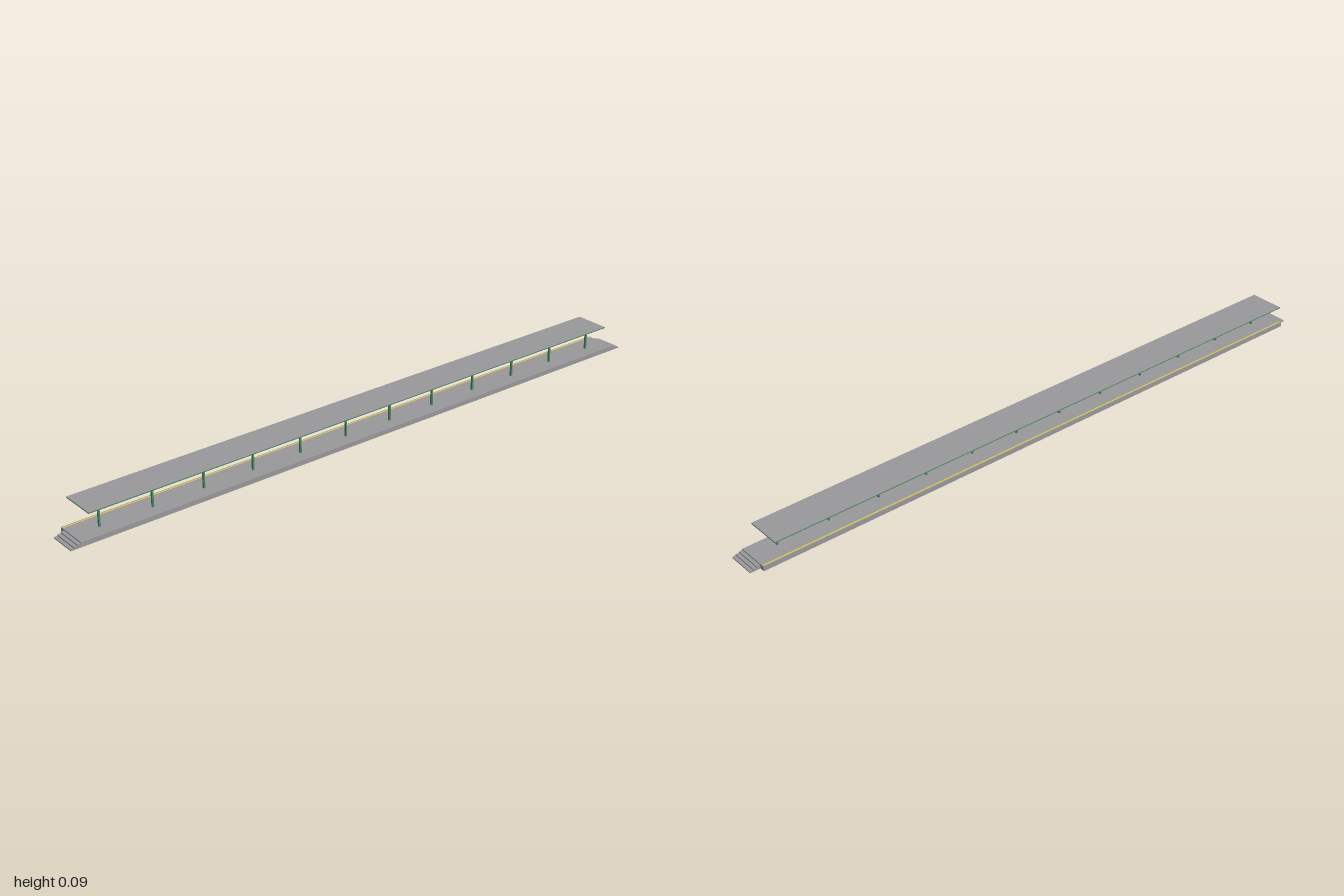
import * as THREE from 'three';

export function createModel() {
  const group = new THREE.Group();
  group.name = 'railwayPlatform';

  const concrete = new THREE.MeshStandardMaterial({ color: 0x99999b });
  concrete.name = 'concrete grey';
  const green = new THREE.MeshStandardMaterial({ color: 0x4f8a68 });
  green.name = 'steel green';
  const yellow = new THREE.MeshStandardMaterial({ color: 0xe6cc3c });
  yellow.name = 'safety yellow';

  // Box given by its min and max corners
  function box(name, material, [x0, y0, z0], [x1, y1, z1]) {
    const mesh = new THREE.Mesh(new THREE.BoxGeometry(x1 - x0, y1 - y0, z1 - z0), material);
    mesh.position.set((x0 + x1) / 2, (y0 + y1) / 2, (z0 + z1) / 2);
    mesh.name = name;
    group.add(mesh);
    return mesh;
  }

  // Platform slab
  box('platform', concrete, [-0.969, 0, -0.0422], [0.969, 0.0143, 0.0582]);

  // Steps down at both ends, narrower than the slab
  const stepCount = 3, tread = 0.0103, riser = 0.0143 / 4;
  for (const side of [-1, 1]) {
    for (let i = 0; i < stepCount; i++) {
      const inner = side * (0.969 + i * tread);
      const outer = side * (0.969 + (i + 1) * tread);
      box('endStep', concrete,
        [Math.min(inner, outer), 0, -0.026],
        [Math.max(inner, outer), riser * (stepCount - i), 0.0582]);
    }
  }

  // Safety line along the rear edge
  box('safetyLine', yellow, [-0.968, 0.0143, -0.0385], [0.968, 0.0145, -0.0345]);

  // Canopy: grey sheet with green edges (material order: +x, -x, +y, -y, +z, -z)
  box('canopyRoof', [green, green, concrete, concrete, green, green],
    [-0.938, 0.0825, -0.0582], [0.938, 0.0857, 0.0518]);

  // Tapered bracket profile, drawn in (-z, y) and extruded along x
  const width = 0.005;
  const profile = new THREE.Shape([
    new THREE.Vector2(-0.0198, 0.078),
    new THREE.Vector2(-0.0128, 0.078),
    new THREE.Vector2(0.0517, 0.0808),
    new THREE.Vector2(0.0517, 0.0826),
    new THREE.Vector2(-0.0198, 0.0826),
  ]);
  const bracketGeometry = new THREE.ExtrudeGeometry(profile, { depth: width, bevelEnabled: false });
  bracketGeometry.translate(0, 0, -width / 2).rotateY(Math.PI / 2);

  // Row of posts with cantilever brackets
  const posts = 12;
  for (let i = 0; i < posts; i++) {
    const x = -0.89 + (1.78 * i) / (posts - 1);
    box('post', green, [x - width / 2, 0.0143, 0.0131], [x + width / 2, 0.08, 0.0195]);
    const bracket = new THREE.Mesh(bracketGeometry, green);
    bracket.position.x = x;
    bracket.name = 'bracket';
    group.add(bracket);
  }

  return group;
}
